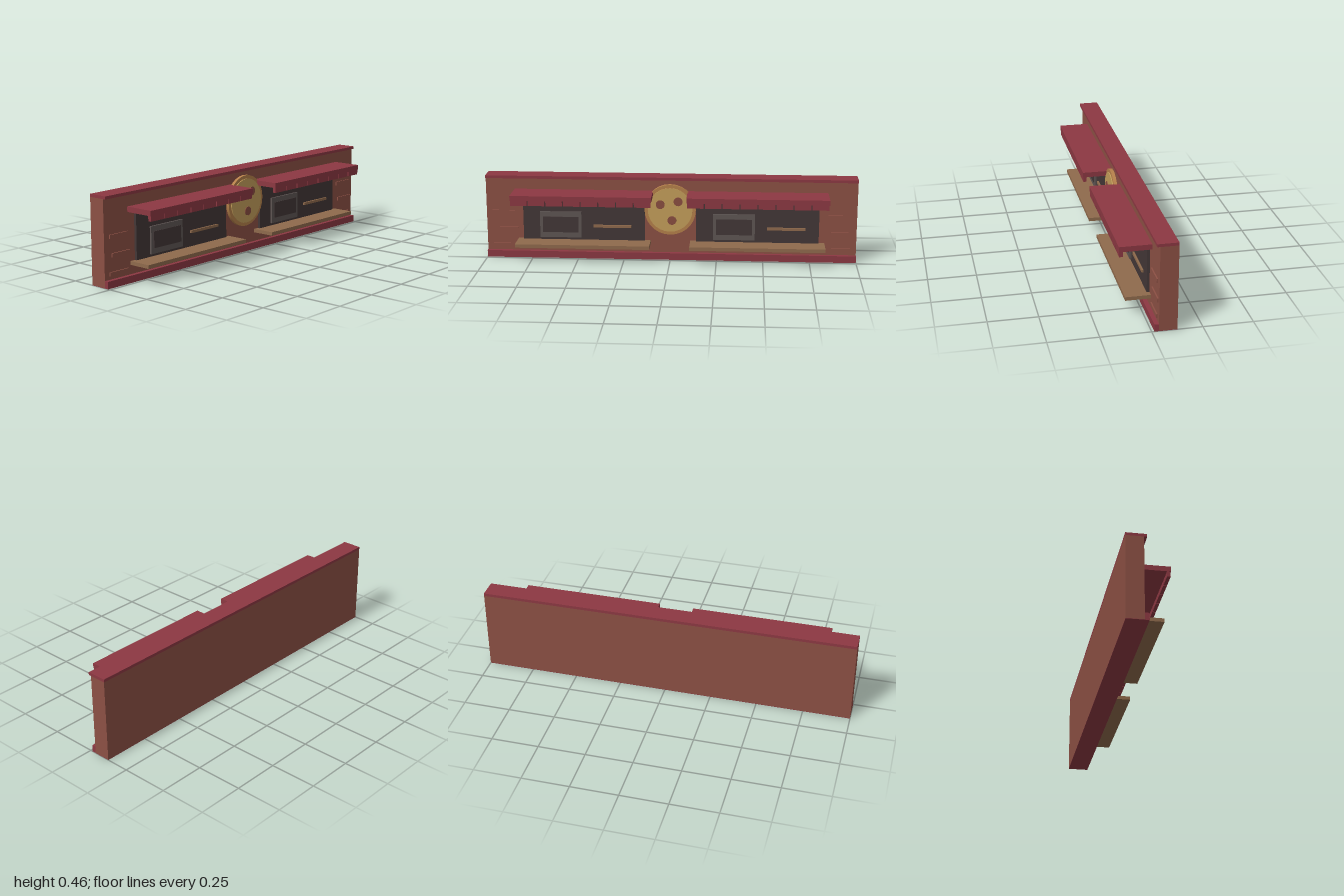
import * as THREE from 'three';

const mat = (name, color) => Object.assign(new THREE.MeshStandardMaterial({ color }), { name });

export function createModel() {
  const root = new THREE.Group();
  root.name = 'bakeryStallFront';

  const clay = mat('clay wall', 0x8c5044);
  const red = mat('deep red trim', 0x8c3842);
  const dark = mat('dark opening', 0x433737);
  const grey = mat('oven grey', 0x5e5553);
  const wood = mat('counter wood', 0x8f6a4c);
  const rim = mat('baked rim', 0xb5804a);
  const gold = mat('golden dough', 0xc49e5a);
  const spot = mat('reddish spots', 0x8a4e40);

  // Box given by its lower and upper limits on each axis
  const box = (parent, name, material, x0, x1, y0, y1, z0, z1) => {
    const m = new THREE.Mesh(new THREE.BoxGeometry(x1 - x0, y1 - y0, z1 - z0), material);
    m.position.set((x0 + x1) / 2, (y0 + y1) / 2, (z0 + z1) / 2);
    m.name = name;
    parent.add(m);
  };

  // Disc facing +z
  const disc = (name, material, x, y, r, z0, z1, sides) => {
    const g = new THREE.CylinderGeometry(r, r, z1 - z0, sides).rotateX(Math.PI / 2);
    const m = new THREE.Mesh(g, material);
    m.position.set(x, y, (z0 + z1) / 2);
    m.name = name;
    root.add(m);
  };

  // Wall with cornice and plinth
  box(root, 'wall', clay, -1, 1, 0.002, 0.44, -0.125, -0.035);
  box(root, 'cornice', red, -1, 1, 0.44, 0.455, -0.125, -0.02);
  box(root, 'plinth', red, -1, 1, 0, 0.037, -0.035, -0.013);
  box(root, 'plinthUnderside', red, -1, 1, 0, 0.002, -0.125, -0.035);

  // Two identical serving bays
  for (const cx of [-0.468, 0.468]) {
    const bay = new THREE.Group();
    bay.name = cx < 0 ? 'rightBay' : 'leftBay';
    bay.position.x = cx;
    root.add(bay);
    box(bay, 'opening', dark, -0.33, 0.33, 0.104, 0.345, -0.035, -0.021);
    box(bay, 'counter', wood, -0.361, 0.361, 0.085, 0.104, -0.035, 0.092);
    box(bay, 'oven', grey, -0.238, -0.013, 0.118, 0.26, -0.021, -0.011);
    box(bay, 'ovenWindow', dark, -0.222, -0.029, 0.147, 0.233, -0.011, -0.007);
    box(bay, 'shelf', wood, 0.052, 0.257, 0.175, 0.189, -0.021, -0.011);
    box(bay, 'awning', red, -0.375, 0.375, 0.353, 0.38, -0.035, 0.126);

    // Valance tabs with narrow slits between
    const tabs = 8, pitch = 0.75 / tabs;
    for (let i = 0; i < tabs; i++) {
      const x = -0.375 + i * pitch;
      box(bay, 'valanceTab', red, x + 0.003, x + pitch - 0.003, 0.326, 0.353, 0.106, 0.124);
    }
  }

  // Raised bricks at both ends, the middle one staggered
  for (const cx of [-0.907, 0.907]) {
    [0.064, 0.156, 0.25].forEach((y, i) => {
      const x = cx + (i === 1 ? 0.016 : 0);
      box(root, 'brick', clay, x - 0.061, x + 0.061, y - 0.01, y + 0.01, -0.035, -0.028);
    });
  }

  // Round sign in the middle
  disc('signRim', rim, 0, 0.283, 0.138, -0.021, -0.003, 28);
  disc('signFace', gold, 0, 0.283, 0.12, -0.003, 0.002, 28);
  for (const [x, y] of [[-0.053, 0.313], [0.043, 0.33], [0.01, 0.226]]) {
    disc('signSpot', spot, x, y, 0.024, 0.002, 0.006, 14);
  }

  return root;
}
